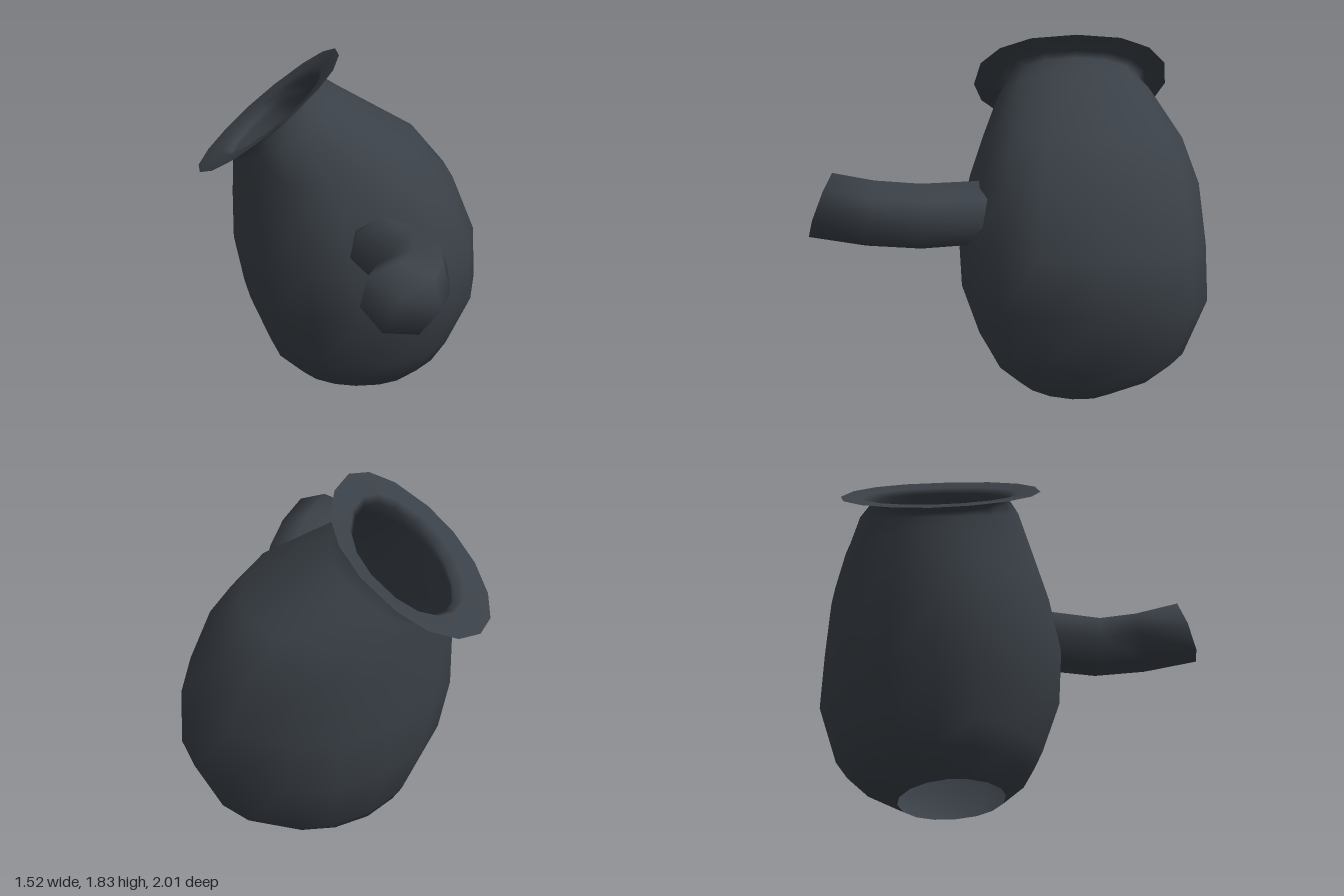
import * as THREE from 'three';

// Smooth skin over oval rings; ring = { c: centre, u, v: half axes,
// p, q: powers for the +u and -u halves, below 1 is squarer }
function loft(rings, sides, capped) {
  const pos = [], index = [];
  const soft = (t, p) => Math.sign(t) * Math.abs(t) ** p;
  for (const { c, u, v, p = 1, q = 1 } of rings) {
    for (let i = 0; i < sides; i++) {
      const a = (i / sides) * Math.PI * 2;
      const e = Math.cos(a) > 0 ? p : q;
      const s = soft(Math.cos(a), e), t = soft(Math.sin(a), e);
      for (let k = 0; k < 3; k++) pos.push(c[k] + s * u[k] + t * v[k]);
    }
  }
  const last = (rings.length - 1) * sides;
  for (let j = 0; j < last; j += sides) {
    for (let i = 0; i < sides; i++) {
      const a = j + i, b = j + (i + 1) % sides, d = a + sides, e = b + sides;
      index.push(a, d, b, b, d, e);
    }
  }
  if (capped) {
    const end = last + sides;
    pos.push(...rings[rings.length - 1].c, ...rings[0].c);
    for (let i = 0; i < sides; i++) {
      const n = (i + 1) % sides;
      index.push(last + i, end, last + n, n, end + 1, i);
    }
  }
  const g = new THREE.BufferGeometry();
  g.setAttribute('position', new THREE.Float32BufferAttribute(pos, 3));
  g.setIndex(index);
  g.computeVertexNormals();
  return g;
}

export function createModel() {
  const group = new THREE.Group();
  const glaze = new THREE.MeshStandardMaterial({ color: 0x3a4047, side: THREE.DoubleSide });
  glaze.name = 'dark slate glaze';
  const add = (name, geometry) => {
    const mesh = new THREE.Mesh(geometry, glaze);
    mesh.name = name;
    group.add(mesh);
  };

  // Leaning ring from its -x point, its +x point, its z range,
  // squareness of the +x half, sideways skew and front lift
  const ring = ([lx, ly, rx, ry, zf, zb, p, skew = 0, lift = 0]) => ({
    c: [(lx + rx) / 2, (ly + ry) / 2 + lift / 2, (zf + zb) / 2],
    u: [(rx - lx) / 2, (ry - ly) / 2, -skew * (zf - zb) / 2],
    v: [0, lift, (zf - zb) / 2],
    p,
    q: 1.06,
  });

  // Pot belly, open at the foot, leaning over to the neck
  const belly = [
    [-0.22, 0.01, 0.42, 0.0, -0.02, -0.57, 0.95, 0.03, 0.02],
    [-0.36, 0.13, 0.55, 0.1, 0.1, -0.77, 0.88, 0.05, 0.02],
    [-0.42, 0.25, 0.63, 0.22, 0.165, -0.895, 0.83, 0.06, 0.02],
    [-0.53, 0.53, 0.76, 0.53, 0.255, -1.0, 0.81, 0.06],
    [-0.58, 0.8, 0.745, 0.83, 0.27, -0.985, 0.8, 0.06],
    [-0.58, 1.05, 0.62, 1.13, 0.21, -0.955, 0.8, 0.06],
    [-0.575, 1.2, 0.43, 1.36, 0.14, -0.89, 0.83, 0.05],
    [-0.57, 1.27, 0.0, 1.62, 0.06, -0.77, 0.88],
    [-0.575, 1.29, -0.1, 1.69, 0.02, -0.71, 0.88],
  ];
  // Flared lip around the mouth
  const lip = [
    [-0.63, 1.305, -0.09, 1.73, 0.06, -0.75, 0.87],
    [-0.76, 1.21, 0.0, 1.82, 0.18, -0.86, 0.85],
  ];
  add('potBodyAndLip', loft([...belly, ...lip].map(ring), 16, false));

  // Bent seven-sided handle, flat underneath: centre, upward half axis, sideways half axis
  const handle = [
    { c: [0.2, 0.956, 0.06], u: [0, 0.162, 0], v: [0.18, 0, -0.07] },
    { c: [0.25, 0.956, 0.2], u: [0, 0.162, -0.01], v: [0.18, 0, -0.06] },
    { c: [0.37, 0.972, 0.46], u: [0, 0.162, -0.01], v: [0.185, 0, -0.04] },
    { c: [0.36, 0.988, 0.7], u: [0, 0.162, -0.02], v: [0.19, 0, 0.01] },
    { c: [0.305, 1.018, 0.948], u: [0, 0.16, -0.058], v: [0.19, 0, 0.015] },
  ];
  add('handle', loft(handle, 7, true));

  return group;
}
